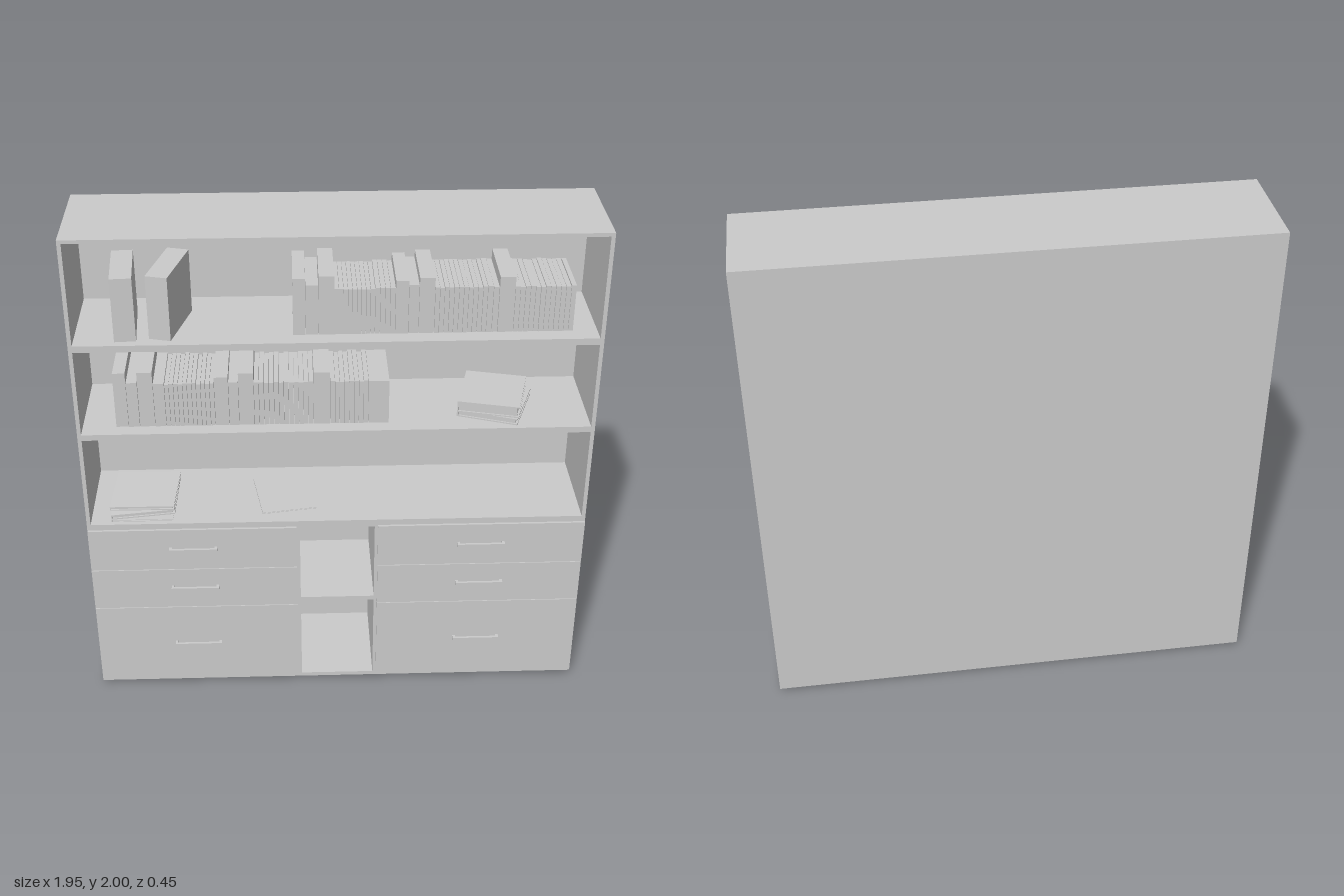
import * as THREE from 'three';

const material = new THREE.MeshStandardMaterial({ color: 0xcccccc, flatShading: true });

// Box given by its extents along each axis
function block(parent, name, x0, x1, y0, y1, z0, z1) {
  const mesh = new THREE.Mesh(new THREE.BoxGeometry(x1 - x0, y1 - y0, z1 - z0), material);
  mesh.position.set((x0 + x1) / 2, (y0 + y1) / 2, (z0 + z1) / 2);
  mesh.name = name;
  parent.add(mesh);
  return mesh;
}

function addGroup(parent, name) {
  const group = new THREE.Group();
  group.name = name;
  parent.add(group);
  return group;
}

// Lying book: two covers, a spine at its left and a recessed page block
function lyingBook(parent, w, t, d, x, y, z, yaw, tilt = 0) {
  const book = addGroup(parent, 'lyingBook');
  const c = Math.min(0.005, t / 4);
  block(book, 'lowerCover', -w / 2, w / 2, 0, c, -d / 2, d / 2);
  block(book, 'upperCover', -w / 2, w / 2, t - c, t, -d / 2, d / 2);
  block(book, 'spine', -w / 2, -w / 2 + c, c, t - c, -d / 2, d / 2);
  block(book, 'pages', -w / 2 + c, w / 2 - 0.008, c, t - c, -d / 2 + 0.006, d / 2 - 0.006);
  book.position.set(x, y, z);
  book.rotation.set(0, yaw, tilt);
}

// Upright book placed by the middle of its front edge
function standingBook(parent, w, h, d, x, y, z, yaw) {
  const book = addGroup(parent, 'standingBook');
  block(book, 'cover', -w / 2, w / 2, 0, h, -d, 0);
  book.position.set(x, y, z);
  book.rotation.y = yaw;
}

let seed = 7;
const random = () => (seed = (seed * 16807) % 2147483647) / 2147483647;

// Row of upright books; each section is [end x, top y, number of books]
function bookRow(parent, name, x, floor, front, sections) {
  const row = addGroup(parent, name);
  for (const [end, top, count] of sections) {
    const step = (end - x) / count;
    for (let i = 0; i < count; i++) {
      const drop = count > 1 ? random() * 0.005 : 0;
      const depth = 0.25 - (count > 1 ? random() * 0.012 : 0);
      block(row, 'book', x + i * step, x + (i + 1) * step - 0.0012,
        floor, top - drop, front - depth, front - random() * 0.002);
    }
    x = end;
  }
}

export function createModel() {
  const model = new THREE.Group();
  model.name = 'bookcase';
  const BACK = -0.225, INNER = -0.2, FRONT = 0.195;

  // Carcass
  const carcass = addGroup(model, 'carcass');
  block(carcass, 'backPanel', -0.975, 0.975, 0.02, 2, BACK, INNER);
  block(carcass, 'topPanel', -0.96, 0.96, 1.986, 2, INNER, FRONT);
  block(carcass, 'bottomPanel', -0.147, 0.147, 0.02, 0.037, INNER, FRONT);
  block(carcass, 'upperShelf', -0.96, 0.96, 1.56, 1.586, INNER, FRONT);
  block(carcass, 'lowerShelf', -0.96, 0.96, 1.188, 1.212, INNER, FRONT);
  block(carcass, 'counter', -0.96, 0.96, 0.772, 0.804, INNER, FRONT);
  block(carcass, 'middleShelf', -0.147, 0.147, 0.412, 0.432, INNER, FRONT);

  const drawers = [[0.034, 0.402, 0.221], [0.405, 0.589, 0.503], [0.592, 0.779, 0.69]];
  for (const s of [-1, 1]) {
    const span = (a, b) => (s > 0 ? [a, b] : [-b, -a]);
    block(carcass, 'sidePanel', ...span(0.96, 0.975), 0.02, 2, INNER, FRONT);
    block(carcass, 'drawerCabinet', ...span(0.147, 0.96), 0.02, 0.772, INNER, FRONT);

    // Drawer fronts with bracket handles
    for (const [y0, y1, h] of drawers) {
      const drawer = addGroup(model, 'drawer');
      block(drawer, 'drawerFront', ...span(0.16, 0.974), y0, y1, FRONT, 0.205);
      block(drawer, 'handleBar', ...span(0.473, 0.661), h - 0.008, h + 0.008, 0.216, 0.226);
      block(drawer, 'handlePost', ...span(0.473, 0.484), h - 0.008, h + 0.008, 0.205, 0.216);
      block(drawer, 'handlePost', ...span(0.65, 0.661), h - 0.008, h + 0.008, 0.205, 0.216);
    }

    // Feet
    for (const z of [0.136, -0.164])
      block(model, 'foot', ...span(0.906, 0.953), 0, 0.02, z - 0.024, z + 0.024);
  }

  // Top shelf books
  standingBook(model, 0.08, 0.25, 0.25, -0.77, 1.586, 0.163, 0.06);
  standingBook(model, 0.083, 0.25, 0.256, -0.645, 1.586, 0.153, -0.256);
  bookRow(model, 'upperBookRow', -0.16, 1.586, 0.13, [
    [-0.113, 1.81, 1], [-0.066, 1.783, 1], [-0.008, 1.818, 1], [0.14, 1.769, 9],
    [0.214, 1.772, 4], [0.262, 1.797, 1], [0.3, 1.78, 1], [0.357, 1.807, 1],
    [0.548, 1.771, 11], [0.59, 1.772, 2], [0.648, 1.807, 1], [0.685, 1.771, 2], [0.87, 1.769, 10],
  ]);

  // Lower shelf books
  bookRow(model, 'lowerBookRow', -0.833, 1.212, 0.138, [
    [-0.785, 1.44, 1], [-0.743, 1.4, 1], [-0.685, 1.442, 1], [-0.643, 1.395, 1],
    [-0.458, 1.395, 11], [-0.405, 1.417, 1], [-0.368, 1.396, 1], [-0.31, 1.432, 1],
    [-0.235, 1.395, 4], [-0.087, 1.395, 8], [-0.024, 1.432, 1], [0.12, 1.395, 8], [0.198, 1.392, 1],
  ]);
  const rightStack = addGroup(model, 'rightBookStack');
  lyingBook(rightStack, 0.235, 0.026, 0.25, 0.612, 1.212, 0.02, -0.34);
  lyingBook(rightStack, 0.235, 0.046, 0.25, 0.603, 1.239, 0.02, -0.24);

  // Counter books
  const leftStack = addGroup(model, 'leftBookStack');
  lyingBook(leftStack, 0.24, 0.008, 0.25, -0.76, 0.804, 0.05, 0);
  lyingBook(leftStack, 0.25, 0.02, 0.25, -0.752, 0.825, 0.05, -0.03, 0.11);
  lyingBook(leftStack, 0.25, 0.016, 0.25, -0.752, 0.856, 0.05, -0.05, 0.03);
  lyingBook(model, 0.215, 0.006, 0.25, -0.205, 0.804, 0, 0.16);

  return model;
}
